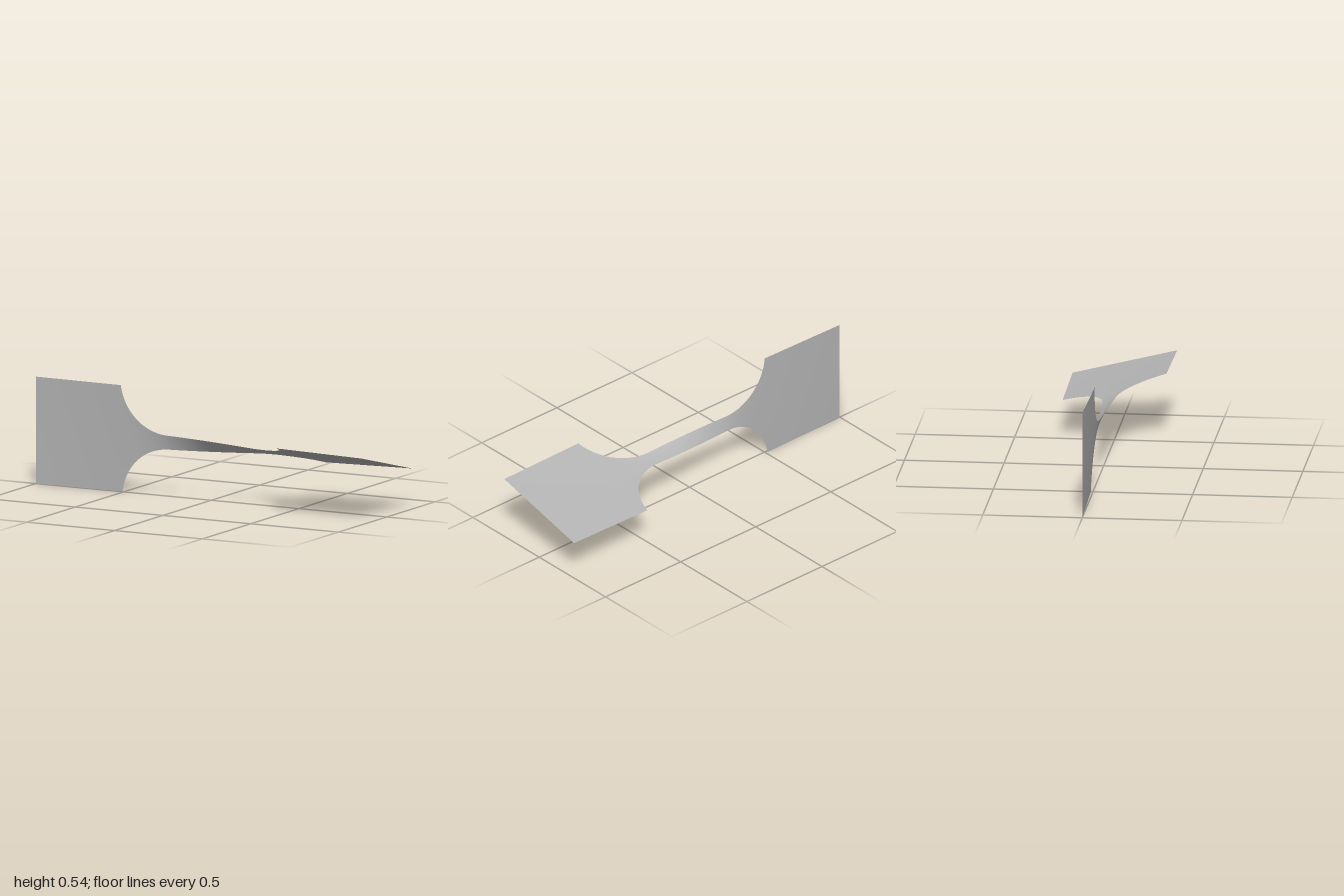
import * as THREE from 'three';

const GRIP = 0.271;      // half width of the end plates
const NECK = 0.0378;     // half width of the slim middle
const RADIUS = 0.265;    // fillet radius between neck and plate
const NECK_END = 0.247;  // x where the fillet starts
const TWIST = THREE.MathUtils.degToRad(76);

// Half width of the strip at a position along its length
function halfWidth(x) {
  const d = Math.abs(x) - NECK_END;
  if (d <= 0) return NECK;
  if (d >= RADIUS) return GRIP;
  return Math.min(GRIP, NECK + RADIUS - Math.sqrt(RADIUS * RADIUS - d * d));
}

// Stations along x: neck, fillet in equal arc steps, plate; mirrored
function stations() {
  const half = [];
  for (let i = 1; i <= 20; i++) half.push(NECK_END * i / 20);
  const arc = Math.acos((NECK + RADIUS - GRIP) / RADIUS);
  for (let i = 1; i <= 32; i++) half.push(NECK_END + RADIUS * Math.sin(arc * i / 32));
  const corner = half[half.length - 1];
  for (let i = 1; i <= 12; i++) half.push(corner + (1 - corner) * i / 12);
  return [...half.map((x) => -x).reverse(), 0, ...half];
}

// The strip twists most where it is narrow
function twistAngles(xs) {
  const rate = (x) => Math.pow(halfWidth(x), -1.58);
  const angles = [0];
  for (let i = 1; i < xs.length; i++) {
    const step = (rate(xs[i]) + rate(xs[i - 1])) / 2 * (xs[i] - xs[i - 1]);
    angles.push(angles[i - 1] + step);
  }
  const total = angles[angles.length - 1];
  return angles.map((a) => a / total * TWIST);
}

export function createModel() {
  const group = new THREE.Group();
  group.name = 'twistedTestStrip';

  const metal = new THREE.MeshStandardMaterial({ color: 0xb4b4b4, side: THREE.DoubleSide });
  metal.name = 'plain grey metal';

  // Thin sheet: a plane whose columns are placed at the stations and turned
  const xs = stations();
  const angles = twistAngles(xs);
  const rows = 12;
  const sheet = new THREE.PlaneGeometry(2, 2, xs.length - 1, rows);
  const pos = sheet.attributes.position;
  for (let i = 0; i < pos.count; i++) {
    const col = i % xs.length;
    const v = pos.getY(i) * halfWidth(xs[col]);
    pos.setXYZ(i, xs[col], GRIP + v * Math.cos(angles[col]), v * Math.sin(angles[col]));
  }
  sheet.computeVertexNormals();

  const strip = new THREE.Mesh(sheet, metal);
  strip.name = 'strip';
  group.add(strip);
  return group;
}
